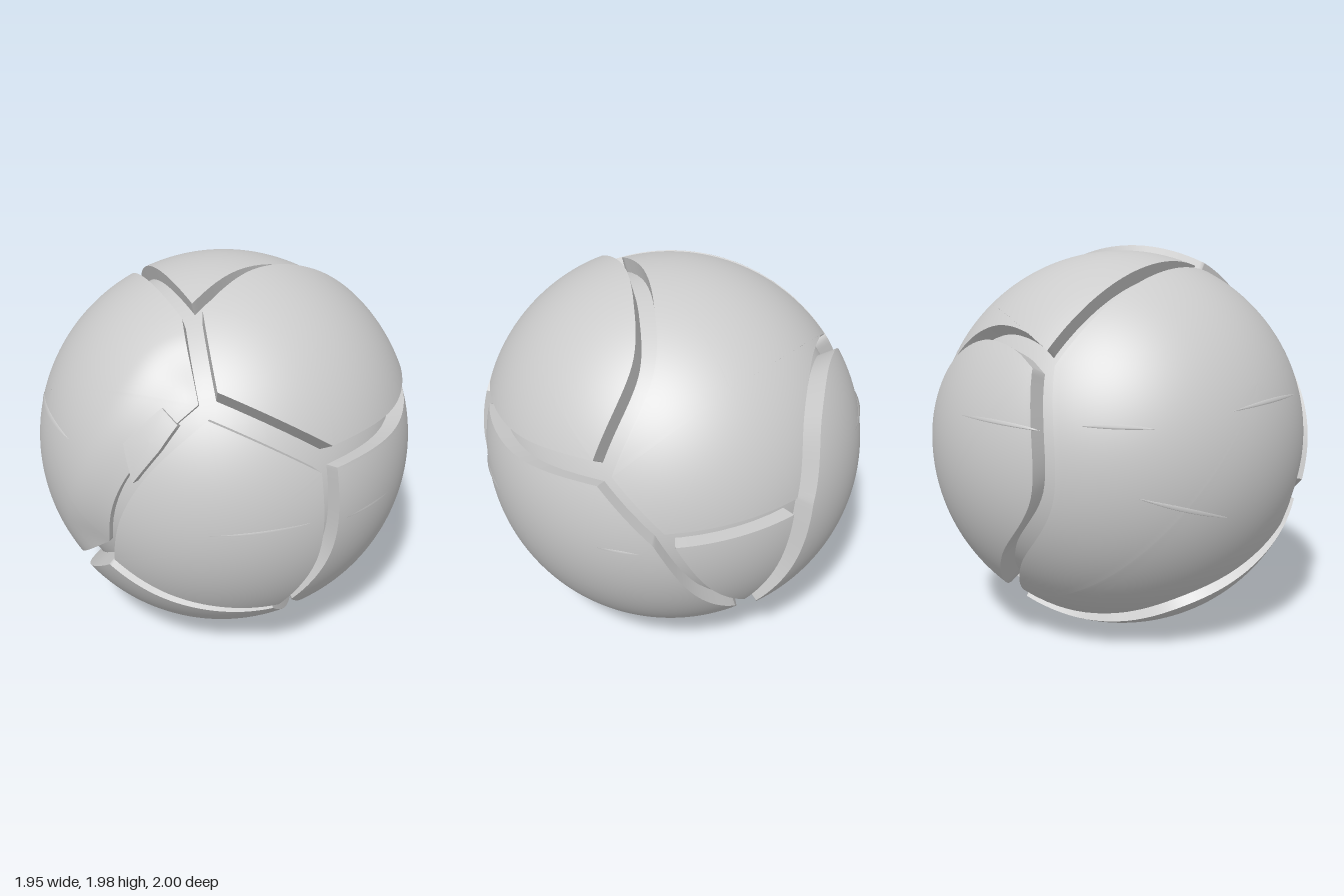
import * as THREE from 'three';
import { mergeGeometries } from 'three/addons/utils/BufferGeometryUtils.js';

const R = 0.97, CORE = 0.895, GAP = 0.042;
const V = (p) => new THREE.Vector3(...p).normalize();

// points on the ball where the cracks meet
const J = {
  a: [0, 0.85, 0.45], b: [0.19, 0.57, 0.76], c: [-0.27, -0.25, 0.89], d: [0.52, -0.55, 0.6],
  e: [0.72, 0.29, 0.59], f: [0.81, 0.33, -0.42], g: [0.69, 0.05, -0.68], h: [0.05, 0.1, -0.96],
  i: [-0.69, 0.5, -0.47], j: [0.2, -0.57, -0.76], k: [-0.03, -0.8, -0.54], l: [-0.2, -0.75, -0.58],
};
// points that cracks pass through on their way between two junctions
const VIA = {
  af: [[0.14, 0.95, 0.1], [0.3, 0.91, -0.15], [0.5, 0.74, -0.37]],
  ih: [[-0.55, 0.58, -0.55], [-0.32, 0.6, -0.69], [-0.1, 0.46, -0.85]],
  ef: [[0.92, 0.3, 0.08]],
  gj: [[0.5, -0.31, -0.77]],
  hj: [[0.12, -0.3, -0.91]],
  il: [[-0.82, -0.1, -0.5], [-0.57, -0.47, -0.63]],
  bc: [[-0.08, 0.28, 0.92], [-0.2, 0.05, 0.94]],
  cd: [[0, -0.42, 0.87], [0.3, -0.52, 0.76]],
  de: [[0.72, -0.2, 0.61]],
  dk: [[0.5, -0.8, 0.2], [0.38, -0.87, -0.2]],
  cl: [[-0.46, -0.42, 0.74], [-0.61, -0.6, 0.43], [-0.64, -0.7, 0.18], [-0.5, -0.81, -0.12], [-0.33, -0.83, -0.36]],
};
// plates: corners anticlockwise from outside, outward shift
const PLATES = [
  ['topRightPlate', 'abef', [0.015, 0.042, 0.005]], ['topBackPlate', 'afghi', [0, 0, 0]],
  ['backLeftPlate', 'ihjkl', [-0.01, 0, -0.028]], ['leftPlate', 'ailcb', [0, 0, 0]],
  ['backWedgePlate', 'gjh', [0, 0, 0]], ['rightPlate', 'edkjgf', [0.005, 0, 0]],
  ['bottomPlate', 'clkd', [-0.012, -0.024, 0]], ['frontPlate', 'bcde', [0.01, 0, 0.034]],
];
// thin gashes: start, end, height of the plate there
const GASHES = [
  [[0.18, 0.02, 0.95], [0.68, 0.04, 0.7], 1.0], [[0.78, -0.02, 0.57], [0.95, -0.03, 0.2], R],
  [[0.88, -0.03, -0.41], [0.74, -0.03, -0.62], R], [[-0.86, 0.28, 0.36], [-0.5, 0.28, 0.78], R],
  [[-0.41, 0.22, -0.85], [-0.8, 0.21, -0.5], 0.995], [[-0.87, 0.24, -0.34], [-0.94, 0.23, -0.02], R],
  [[-0.96, -0.08, -0.1], [-0.88, -0.22, 0.35], R],
];

// the left plate sinks toward the front crack
const SINK = new THREE.Line3(V([0.1, 0.6, 0.75]), V(J.c));
function sinkDepth(dir) {
  const d = SINK.closestPointToPoint(dir, true, new THREE.Vector3()).normalize().distanceTo(dir);
  return 0.055 * (1 - THREE.MathUtils.smoothstep(d, 0, 0.32));
}

function slerp(a, b, t) {
  const ang = a.angleTo(b);
  if (ang < 1e-6) return a.clone();
  const s = Math.sin(ang);
  return a.clone().multiplyScalar(Math.sin((1 - t) * ang) / s)
    .addScaledVector(b, Math.sin(t * ang) / s).normalize();
}

// one crack as a run of directions
function crack(p, q, n) {
  const mid = VIA[p + q] || [...(VIA[q + p] || [])].reverse();
  const ends = [V(J[p]), ...mid.map(V), V(J[q])];
  if (ends.length === 2) return Array.from({ length: n }, (_, i) => slerp(ends[0], ends[1], i / n));
  const curve = new THREE.CatmullRomCurve3(ends, false, 'centripetal');
  return curve.getSpacedPoints(n).slice(0, n).map((v) => v.normalize());
}

// outline moved in from the cracks by gap, with mitred corners and no overlaps
function inset(outline, gap) {
  const n = outline.length;
  const edges = outline.map((v, i) => new THREE.Line3(v, outline[(i + 1) % n]));
  const normals = edges.map((e) => e.start.clone().cross(e.delta(new THREE.Vector3())).normalize());
  const q = new THREE.Vector3();
  return outline.map((v, i) => {
    const n1 = normals[(i + n - 1) % n], n2 = normals[i];
    const reach = gap / Math.max(0.3, 1 + n1.dot(n2));
    return v.clone().addScaledVector(n1.clone().add(n2), reach).normalize();
  }).filter((v) => edges.every((e) => e.closestPointToPoint(v, true, q).distanceTo(v) >= gap * 0.93));
}

// rows of points joined into a surface; closed rows wrap around
function loft(rows, closed) {
  const n = rows[0].length, pos = [], idx = [];
  rows.forEach((row) => row.forEach((p) => pos.push(p.x, p.y, p.z)));
  for (let r = 0; r + 1 < rows.length; r++) {
    for (let i = 0; i < (closed ? n : n - 1); i++) {
      const a = r * n + i, b = r * n + (i + 1) % n;
      idx.push(a, b + n, b, a, a + n, b + n);
    }
  }
  const geo = new THREE.BufferGeometry();
  geo.setAttribute('position', new THREE.Float32BufferAttribute(pos, 3));
  geo.setIndex(idx);
  geo.computeVertexNormals();
  return geo;
}

// curved shell inside a rim, with walls that run down into the core
function shell(rim, heightAt, shift, rings) {
  const centre = rim.reduce((s, v) => s.add(v), new THREE.Vector3()).normalize();
  const lift = new THREE.Vector3(...shift);
  const rows = [];
  for (let r = 0; r <= rings; r++) {
    // the first ring is a tiny one, closing the middle
    const t = Math.max(r / rings, 0.002);
    rows.push(rim.map((v) => {
      const dir = slerp(centre, v, t);
      return dir.clone().multiplyScalar(heightAt(dir)).add(lift);
    }));
  }
  const foot = rim.map((v) => v.clone().multiplyScalar(CORE - 0.04));
  return mergeGeometries([loft(rows, true), loft([rows[rings], foot], true)]);
}

// narrow pointed ledge: upper edge sunk in the plate, lower edge just proud of it
function gash(from, to, height) {
  const a = V(from), b = V(to), n = 16;
  const side = b.clone().cross(a).normalize();
  if (side.y < 0) side.negate();
  const edge = (width, rise) => Array.from({ length: n + 1 }, (_, i) => {
    const taper = 4 * (i / n) * (1 - i / n);
    return slerp(a, b, i / n).addScaledVector(side, width * taper).normalize()
      .multiplyScalar(height + rise * taper);
  });
  return loft([edge(0.02, -0.004), edge(0, 0.012), edge(-0.012, -0.006)], false);
}

export function createModel() {
  const model = new THREE.Group();
  model.name = 'crackedBall';
  const ball = new THREE.Group();
  ball.name = 'ball';
  const mat = new THREE.MeshStandardMaterial({ color: 0xcccccc, side: THREE.DoubleSide });
  const add = (geo, name) => {
    const mesh = new THREE.Mesh(geo, mat);
    mesh.name = name;
    ball.add(mesh);
  };

  // inner ball forming the floor of the cracks
  add(new THREE.SphereGeometry(CORE, 64, 40), 'core');

  // outer plates
  for (const [name, corners, shift] of PLATES) {
    const n = Math.round(160 / corners.length);
    const outline = [...corners].flatMap((p, i) => crack(p, corners[(i + 1) % corners.length], n));
    const height = name === 'leftPlate' ? (dir) => R - sinkDepth(dir) : () => R;
    add(shell(inset(outline, GAP), height, shift, 32), name);
  }

  // thin gashes across the plates
  GASHES.forEach((g) => add(gash(...g), 'gash'));

  // small five-sided chip beside the front plate
  const chip = [[-0.02, 0.55, 0.8], [-0.19, 0.37, 0.88], [-0.12, 0.2, 0.94], [0.0, 0.37, 0.89], [0.07, 0.49, 0.83]].map(V);
  const chipRim = chip.flatMap((p, i) => [0, 0.25, 0.5, 0.75].map((t) => slerp(p, chip[(i + 1) % 5], t)));
  add(shell(chipRim, () => R - 0.025, [0, 0, 0], 6), 'chip');

  // stand on the ground, centred
  const box = new THREE.Box3().setFromObject(ball, true);
  const mid = box.getCenter(new THREE.Vector3());
  ball.position.set(-mid.x, -box.min.y, -mid.z);
  model.add(ball);
  return model;
}
